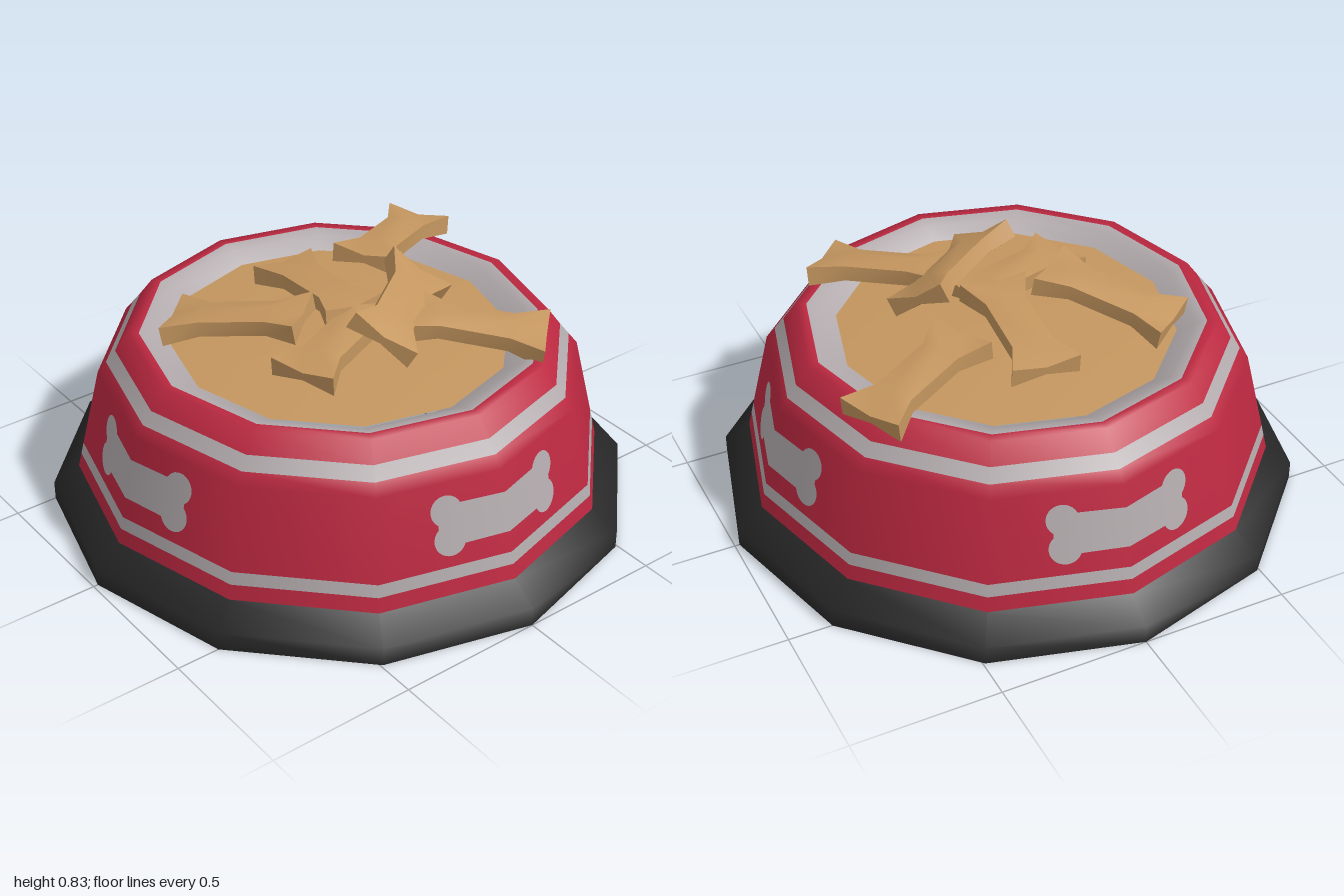
import * as THREE from 'three';

const SIDES = 12;

function paint(name, color) {
  const m = new THREE.MeshStandardMaterial({ color });
  m.name = name;
  return m;
}

function lathe(points) {
  return new THREE.LatheGeometry(points.map(([r, y]) => new THREE.Vector2(r, y)), SIDES);
}

function mesh(name, geometry, material) {
  const m = new THREE.Mesh(geometry, material);
  m.name = name;
  return m;
}

// Outer wall radius at height y
const wallRadius = (y) => 0.91 - 0.243 * (y - 0.13);

// Half of a flat bone badge, laid on the facet beside a wall corner
function badgeHalf(side) {
  const s = new THREE.Shape();
  s.moveTo(0, -0.066);
  s.lineTo(0.15, -0.068);
  s.absarc(0.198, -0.048, 0.052, -2.74, 0.9, false);
  s.absarc(0.198, 0.048, 0.052, -0.9, 2.74, false);
  s.lineTo(0, 0.066);
  const g = new THREE.ShapeGeometry(s, 8);
  const p = g.attributes.position, n = g.attributes.normal;
  const v = new THREE.Vector3();
  for (let i = 0; i < p.count; i++) {
    const x = p.getX(i), y = p.getY(i) + 0.36;
    const z = wallRadius(y) - 0.268 * x + 0.004;
    p.setXYZ(i, x * side, y, z);
    v.set(x * side, 0.243 * z, z).normalize();
    n.setXYZ(i, v.x, v.y, v.z);
  }
  if (side < 0) g.index.array.reverse();
  return g;
}

// Bone biscuit: a box flared at both ends, with a groove between the lobes
function biscuitGeometry() {
  const g = new THREE.BoxGeometry(0.46, 2, 2, 3, 1, 2);
  const p = g.attributes.position;
  for (let i = 0; i < p.count; i++) {
    const x = p.getX(i), y = p.getY(i), z = p.getZ(i);
    const end = Math.abs(x) > 0.2;
    const middle = Math.abs(z) < 0.1;
    const h = end ? (middle ? 0.014 : 0.034) : (middle ? 0.042 : 0.026);
    p.setXYZ(i, end ? x : Math.sign(x) * 0.115, y * h, z * (end ? 0.117 : 0.07));
  }
  g.computeVertexNormals();
  return g;
}

export function createModel() {
  const red = paint('red', 0xbb2840);
  const grey = paint('lightGrey', 0xb2aaac);
  const black = paint('black', 0x262626);
  const tan = paint('biscuitTan', 0xc4965f);

  const model = new THREE.Group();
  model.name = 'foodBowl';
  const bowl = new THREE.Group();
  bowl.name = 'bowl';
  bowl.scale.z = 0.984;
  model.add(bowl);

  // Foot ring and underside
  bowl.add(mesh('footRing', lathe([[1, 0], [1, 0.065], [0.91, 0.13]]), black));
  bowl.add(mesh('underside', lathe([[0, 0], [1, 0]]), black));

  // Wall, rim and inside: each profile step carries a colour (0 red, 1 grey)
  const profile = [
    [wallRadius(0.13), 0.13], [wallRadius(0.18), 0.18], [wallRadius(0.222), 0.222],
    [0.82, 0.5], [0.79, 0.537], [0.757, 0.578], [0.71, 0.64],
    [0.675, 0.64], [0.635, 0.628], [0.575, 0.59], [0.5, 0.54],
  ];
  const stepColour = [0, 1, 0, 0, 1, 0, 0, 1, 1, 1];
  const wall = lathe(profile);
  const steps = stepColour.length;
  for (let i = 0; i < SIDES * steps; i++) wall.addGroup(i * 6, 6, stepColour[i % steps]);
  bowl.add(mesh('stripedWall', wall, [red, grey]));

  // Bone badges on four sides
  for (let i = 0; i < 4; i++) {
    const badge = new THREE.Group();
    badge.name = 'boneBadge';
    badge.rotation.y = i * Math.PI / 2;
    for (const side of [1, -1]) badge.add(mesh('boneBadgeHalf', badgeHalf(side), grey));
    bowl.add(badge);
  }

  // Food surface, slightly domed
  bowl.add(mesh('foodSurface', lathe([[0.576, 0.598], [0.35, 0.616], [0, 0.626]]), tan));

  // Biscuits: x, y, z, yaw, pitch, roll
  const biscuit = biscuitGeometry();
  const places = [
    [-0.28, 0.69, -0.44, -1.107, 0.12, 0],
    [0.36, 0.69, -0.283, 0.776, -0.12, 0.1],
    [0.18, 0.745, -0.11, -0.935, 0, -0.52],
    [-0.16, 0.685, -0.03, -0.07, 0.1, 0],
    [-0.14, 0.695, 0.315, 0.653, 0.17, 0],
    [0.145, 0.675, 0.106, 1.93, 0.08, 0],
  ];
  for (const [x, y, z, yaw, pitch, roll] of places) {
    const b = mesh('boneBiscuit', biscuit, tan);
    b.position.set(x, y, z);
    b.rotation.set(roll, yaw, pitch, 'YZX');
    model.add(b);
  }
  return model;
}
